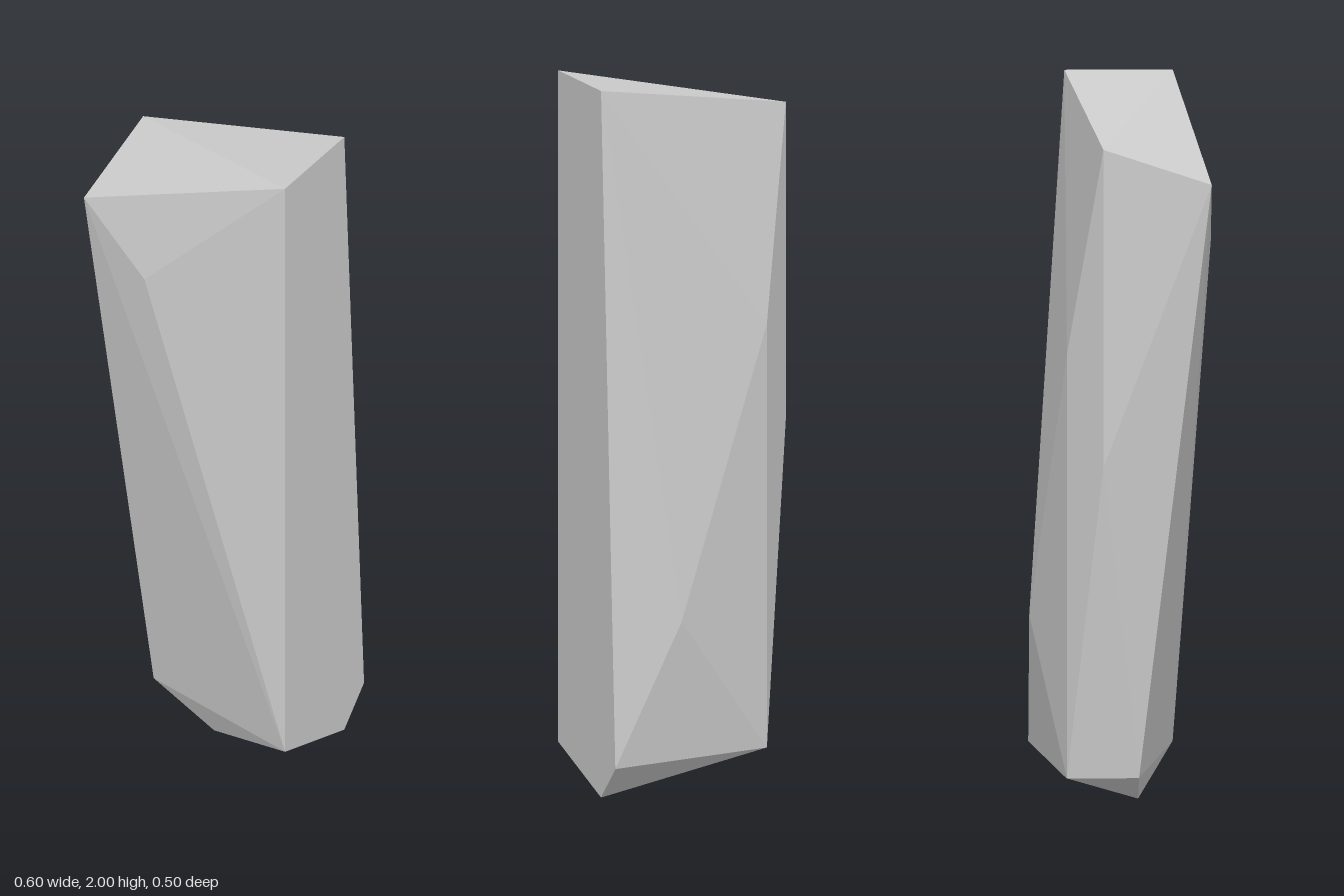
import * as THREE from 'three';
import { ConvexGeometry } from 'three/addons/geometries/ConvexGeometry.js';

export function createModel() {
  const group = new THREE.Group();
  group.name = 'standingStone';

  const corners = [
    // slanted top
    [0.3, 2, 0.15], [0.3, 2, -0.15], [-0.3, 1.9, -0.05], [-0.3, 1.8, 0.25],
    // chipped front, back and side corners
    [-0.1, 1.6, 0.25], [-0.2, 1.3, -0.15], [-0.3, 1, -0.05], [0.1, 0.5, -0.25],
    // lower rim
    [0.3, 0.1, 0.15], [-0.2, 0.1, 0.05], [-0.2, 0.1, -0.15], [0.3, 0.1, -0.25],
    // foot
    [0, 0, 0.05], [0.3, 0, -0.15],
  ].map((p) => new THREE.Vector3(...p));

  // the stone is the faceted hull of its corners
  const stone = new THREE.Mesh(
    new ConvexGeometry(corners),
    new THREE.MeshStandardMaterial({ color: 0xcccccc, flatShading: true })
  );
  stone.name = 'stone';
  group.add(stone);
  return group;
}
